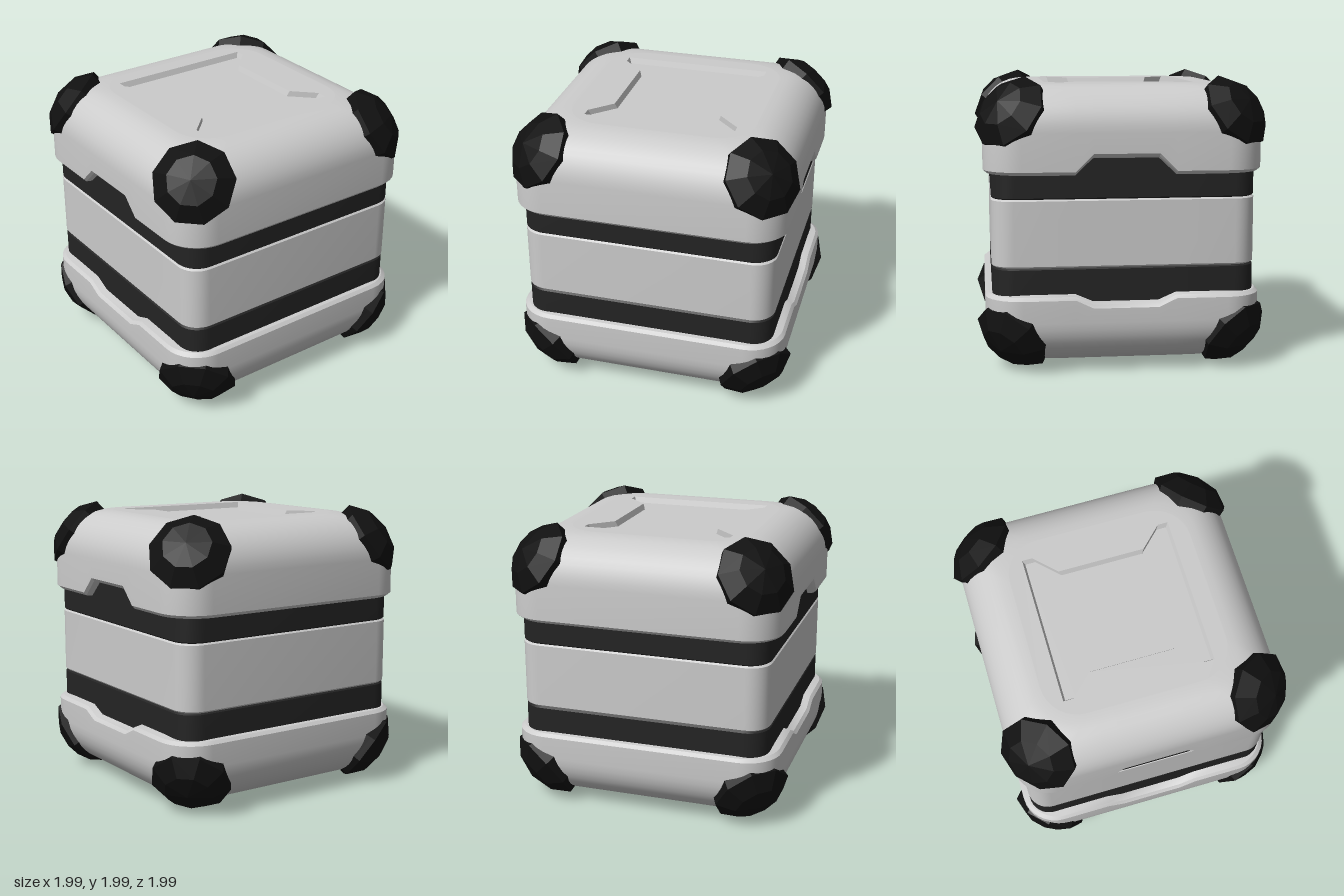
import * as THREE from 'three';
import { toCreasedNormals } from 'three/addons/utils/BufferGeometryUtils.js';

const grey = new THREE.MeshStandardMaterial({ color: 0xcccccc });
const bandDark = new THREE.MeshStandardMaterial({ color: 0x242424 });
const capDark = new THREE.MeshStandardMaterial({ color: 0x101010, flatShading: true });

// Skin between loops of equal point count
function loft(loops, crease = 0.5) {
  const n = loops[0].length, index = [];
  for (let k = 0; k < loops.length - 1; k++)
    for (let i = 0; i < n; i++) {
      const a = k * n + i, b = k * n + (i + 1) % n;
      index.push(a, a + n, b, b, a + n, b + n);
    }
  const g = new THREE.BufferGeometry().setFromPoints(loops.flat());
  g.setIndex(index);
  return toCreasedNormals(g, crease);
}

// Rounded rectangle in plan, with extra points on front and back for the notch
function plan(hx, hz, r, y, notchY = y) {
  const pts = [], seg = 8, cx = hx - r, cz = hz - r;
  const corner = (sx, sz, start) => {
    for (let i = 0; i <= seg; i++) {
      const a = start + (i / seg) * Math.PI / 2;
      pts.push(new THREE.Vector3(sx * cx + r * Math.cos(a), y, sz * cz + r * Math.sin(a)));
    }
  };
  const notch = (s) => [0.34, 0.22, -0.22, -0.34].forEach((x) =>
    pts.push(new THREE.Vector3(s * x, Math.abs(x) < 0.3 ? notchY : y, s * hz)));
  corner(1, 1, 0);
  notch(1);
  corner(-1, 1, Math.PI / 2);
  corner(-1, -1, Math.PI);
  notch(-1);
  corner(1, -1, Math.PI * 1.5);
  return pts;
}

const flat = (pts) => pts.map((p) => new THREE.Vector2(p.x, -p.z));

function add(group, name, geometry, material) {
  const m = new THREE.Mesh(geometry, material);
  m.name = name;
  group.add(m);
  return m;
}

// Hourglass outline of the recess in the lid
function recessLoop(inset, y) {
  const q = [[0.515, 0.52], [0.445, 0.52], [0.3, 0.375]].map(([x, z]) => [x - inset, z - inset]);
  const half = [...q, ...[...q].reverse().map(([x, z]) => [-x, z])];
  return [...half, ...half.map(([x, z]) => [-x, -z])].map(([x, z]) => new THREE.Vector3(x, y, z));
}

// Rounded shell with a bevelled, notched rim
function shell(name, rimY, notchY, hx, hz, recessed) {
  const g = new THREE.Group();
  g.name = name;
  const top = 1.945, R = 0.31, steps = 10, r = 0.25;
  const ring = (inset, y, ny) => plan(hx - inset, hz - inset, r, y, ny);
  const loops = [
    ring(0.07, rimY, notchY),
    ring(0.02, rimY + 0.008, notchY + 0.012),
    ring(0, rimY + 0.03, notchY + 0.035),
  ];
  for (let i = 0; i <= steps; i++) {
    const a = (i / steps) * Math.PI / 2;
    loops.push(ring(R * (1 - Math.cos(a)), top - R + R * Math.sin(a)));
  }
  add(g, name + 'Wall', loft(loops), grey);

  const face = new THREE.Shape(flat(loops[loops.length - 1]));
  if (recessed) {
    const depth = 0.04, rim = recessLoop(0, top), floor = recessLoop(0.015, top - depth);
    face.holes.push(new THREE.Path(flat(rim)));
    add(g, 'recessWall', loft([rim, floor], 0.1), grey);
    const f = add(g, 'recessFloor', new THREE.ShapeGeometry(new THREE.Shape(flat(floor))), grey);
    f.rotation.x = -Math.PI / 2;
    f.position.y = top - depth;
  }
  const f = add(g, name + 'Face', new THREE.ShapeGeometry(face), grey);
  f.rotation.x = -Math.PI / 2;
  f.position.y = top;
  return g;
}

// Straight band with bevelled edges
function band(y0, y1, hx, hz, bevel) {
  const r = 0.15, ring = (i, y) => plan(hx - i, hz - i, r, y);
  return loft([ring(0.03, y0), ring(bevel, y0), ring(0, y0 + bevel),
    ring(0, y1 - bevel), ring(bevel, y1), ring(0.03, y1)]);
}

export function createModel() {
  const model = new THREE.Group();
  model.name = 'crate';

  // Lid, and base as an upturned shell
  model.add(shell('lid', 1.35, 1.463, 0.945, 0.95, true));
  const base = shell('base', 1.45, 1.502, 0.94, 0.953, false);
  base.rotation.x = Math.PI;
  base.position.y = 2;
  model.add(base);

  // Bands around an inner core
  add(model, 'core', band(0.45, 1.53, 0.878, 0.868, 0.01), bandDark);
  add(model, 'middleBand', band(0.725, 1.195, 0.895, 0.885, 0.015), grey);
  add(model, 'upperBand', band(1.188, 1.53, 0.893, 0.883, 0.012), bandDark);
  add(model, 'lowerBand', band(0.45, 0.73, 0.893, 0.883, 0.012), bandDark);

  // Faceted guard on each of the eight corners
  const profile = [[0.24, 1.15], [0.268, 1.3], [0.275, 1.335], [0.165, 1.425], [0, 1.46]]
    .map(([x, y]) => new THREE.Vector2(x, y));
  const guard = new THREE.LatheGeometry(profile, 9);
  for (const sx of [-1, 1]) for (const sy of [-1, 1]) for (const sz of [-1, 1]) {
    const n = new THREE.Vector3(sx, sy, sz).normalize();
    const u = new THREE.Vector3(sx, 0, 0).projectOnPlane(n).normalize();
    const side = new THREE.Vector3().crossVectors(n, u);
    const m = add(model, 'cornerGuard', guard, capDark);
    m.quaternion.setFromRotationMatrix(new THREE.Matrix4().makeBasis(side, n, u));
    m.position.y = 1;
  }
  return model;
}
